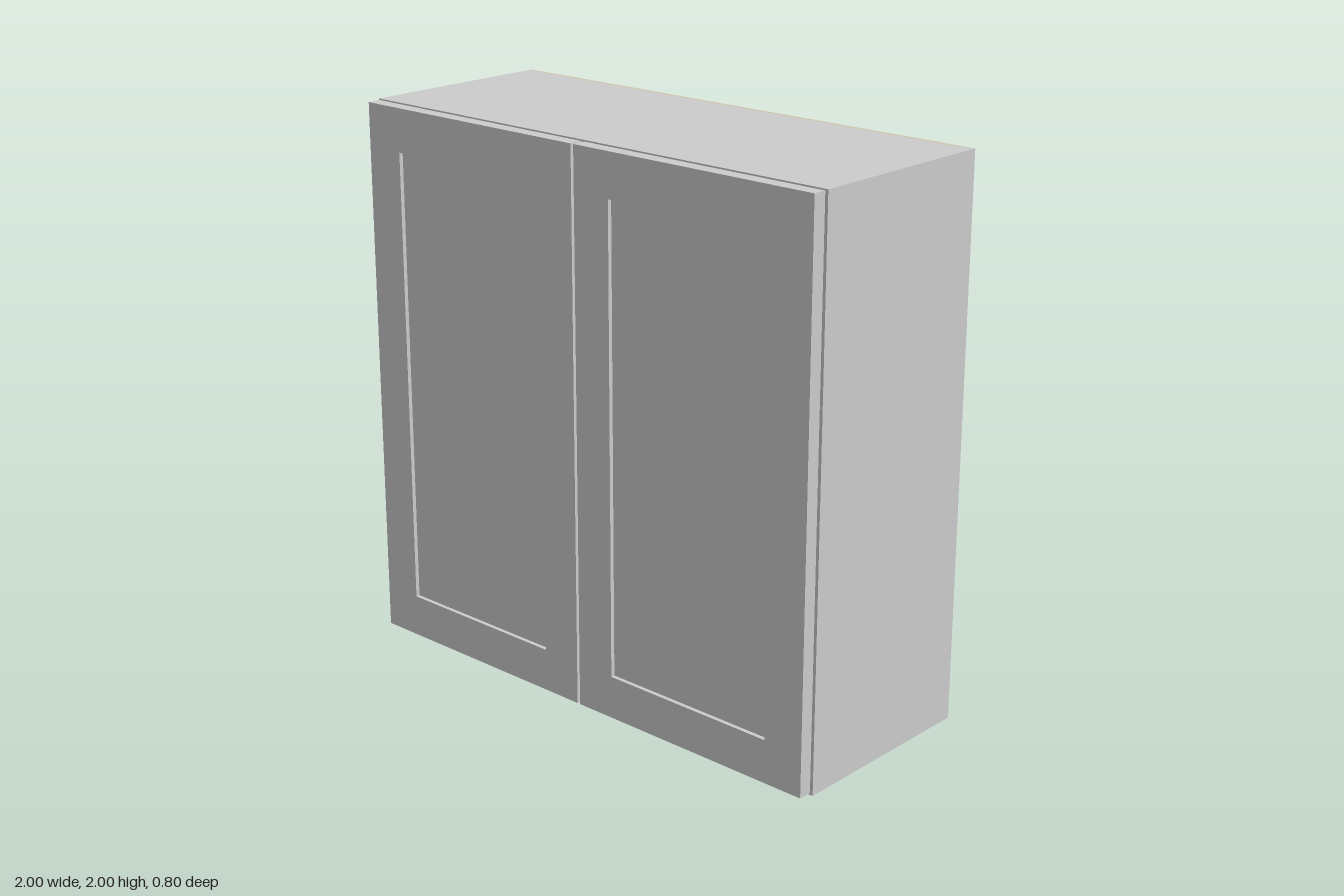
import * as THREE from 'three';

const grey = new THREE.MeshStandardMaterial({ color: 0xcccccc });
const wood = new THREE.MeshStandardMaterial({ color: 0xd0c4ac });

// Box given by its minimum and maximum corners
function panel(name, [x0, y0, z0], [x1, y1, z1], material = grey) {
  const mesh = new THREE.Mesh(new THREE.BoxGeometry(x1 - x0, y1 - y0, z1 - z0), material);
  mesh.position.set((x0 + x1) / 2, (y0 + y1) / 2, (z0 + z1) / 2);
  mesh.name = name;
  return mesh;
}

// Framed door with a recessed centre panel, centred on its own x = 0
function makeDoor(name) {
  const halfWidth = 0.493, bottom = 0.01, top = 1.996;
  const back = 0.35, front = 0.4, recess = 0.015;
  const innerHalf = 0.341, innerBottom = 0.165, innerTop = 1.84;

  const shape = new THREE.Shape();
  shape.moveTo(-halfWidth, bottom);
  shape.lineTo(halfWidth, bottom);
  shape.lineTo(halfWidth, top);
  shape.lineTo(-halfWidth, top);
  shape.closePath();
  const hole = new THREE.Path();
  hole.moveTo(-innerHalf, innerBottom);
  hole.lineTo(-innerHalf, innerTop);
  hole.lineTo(innerHalf, innerTop);
  hole.lineTo(innerHalf, innerBottom);
  hole.closePath();
  shape.holes.push(hole);

  const frame = new THREE.Mesh(
    new THREE.ExtrudeGeometry(shape, { depth: front - back, bevelEnabled: false }), grey);
  frame.position.z = back;
  frame.name = 'doorFrame';

  const door = new THREE.Group();
  door.name = name;
  door.add(frame, panel('doorPanel',
    [-innerHalf, innerBottom, back + recess], [innerHalf, innerTop, front - recess]));
  return door;
}

export function createModel() {
  const cabinet = new THREE.Group();
  cabinet.name = 'wallCabinet';

  const t = 0.048, inner = 1 - t, backZ = -0.4, frontZ = 0.346, backFront = -0.385;

  // Carcass
  cabinet.add(
    panel('leftSide', [inner, 0, backZ], [1, 2, frontZ]),
    panel('rightSide', [-1, 0, backZ], [-inner, 2, frontZ]),
    panel('topPanel', [-inner, 2 - t, backFront], [inner, 2, frontZ]),
    panel('bottomPanel', [-inner, 0, backFront], [inner, t, frontZ], wood),
    panel('shelf', [-inner, 0.976, backFront], [inner, 1.024, frontZ]),
    panel('backPanel', [-inner, 0, backZ], [inner, 2, backFront], wood));

  // Pair of doors with a narrow gap between them
  for (const [name, side] of [['leftDoor', 1], ['rightDoor', -1]]) {
    const door = makeDoor(name);
    door.position.x = side * 0.499;
    cabinet.add(door);
  }
  return cabinet;
}
